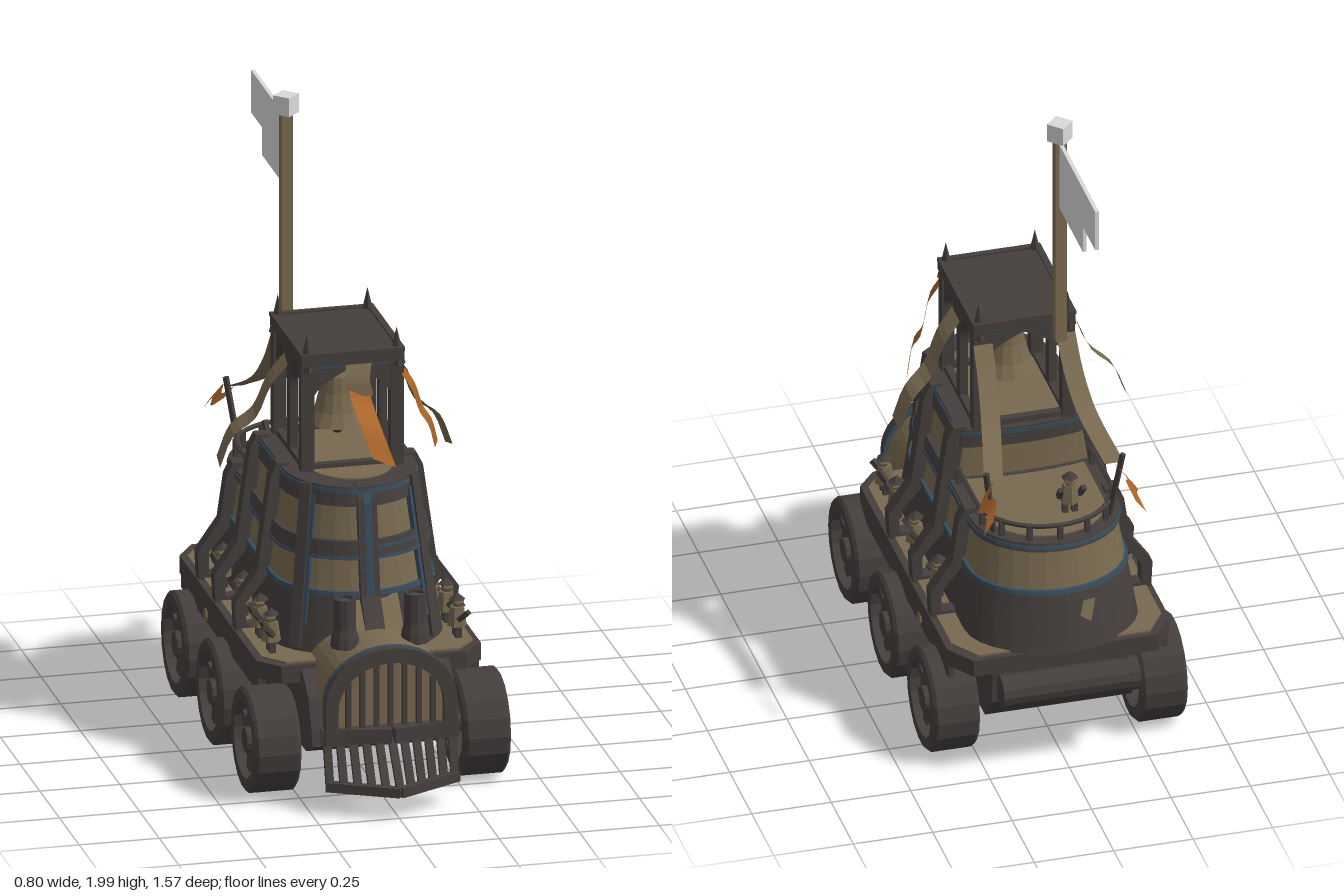
import * as THREE from 'three';

const mat = (name, color, side = THREE.FrontSide) =>
  new THREE.MeshStandardMaterial({ name, color, side, flatShading: true });

export function createModel() {
  const root = new THREE.Group();
  root.name = 'landTrain';
  const iron = mat('darkIron', 0x443f3d);
  const tan = mat('tanPlate', 0x78694f, THREE.DoubleSide);
  const blue = mat('blueTrim', 0x384c5c);
  const orange = mat('orangeCloth', 0xa8642a, THREE.DoubleSide);
  const wood = mat('mastWood', 0x7d6b50);
  const pale = mat('paleGrey', 0xdadada);

  const V = (x, y, z) => new THREE.Vector3(x, y, z);
  const add = (name, geo, m, x = 0, y = 0, z = 0, parent = root) => {
    const mesh = new THREE.Mesh(geo, m);
    mesh.name = name;
    mesh.position.set(x, y, z);
    parent.add(mesh);
    return mesh;
  };
  const box = (name, w, h, d, m, x, y, z, parent) => add(name, new THREE.BoxGeometry(w, h, d), m, x, y, z, parent);
  // straight bar between two points
  const bar = (name, a, b, w, h, m, parent) => {
    const mesh = box(name, w, h, a.distanceTo(b), m, 0, 0, 0, parent);
    mesh.position.copy(a).add(b).multiplyScalar(0.5);
    mesh.lookAt(b);
    return mesh;
  };
  const shape = (pts) => new THREE.Shape(pts.map(([x, y]) => new THREE.Vector2(x, y)));
  const slab = (s, depth) =>
    new THREE.ExtrudeGeometry(s, { depth, bevelEnabled: false, curveSegments: 10 }).translate(0, 0, -depth / 2);
  const lathe = (pts, n) => new THREE.LatheGeometry(pts.map(([r, y]) => new THREE.Vector2(r, y)), n);
  const rod = (r, len, n) => new THREE.CylinderGeometry(r, r, len, n).rotateZ(Math.PI / 2);

  // ---- hull: rounded cross-sections lofted upwards ----
  const N = 14;
  const ring = (y, grow, tower) => {
    const t = y - 0.6, hw = 0.242 - 0.14 * t + grow, rf = 0.22 + grow, rb = (tower ? 0.03 : 0.2) + grow;
    const zf = 0.148 - 0.15 * t, zb = tower ? -0.21 : -0.49 + 0.22 * t, pts = [];
    for (let i = 0; i <= N; i++) {
      const a = (i / N) * Math.PI;
      pts.push(V(hw * Math.cos(a), y, zf + rf * Math.sin(a)));
    }
    for (let i = 0; i <= N; i++) {
      const a = Math.PI * (1 + i / N);
      pts.push(V(hw * Math.cos(a), y, zb + Math.max(rb, 0) * Math.sin(a)));
    }
    return pts;
  };
  const loft = (rings) => {
    const n = rings[0].length, pos = [], tri = (...p) => p.forEach((v) => pos.push(v.x, v.y, v.z));
    for (let r = 0; r < rings.length - 1; r++)
      for (let i = 0; i < n; i++) {
        const j = (i + 1) % n, A = rings[r], B = rings[r + 1];
        tri(A[i], B[i], A[j]);
        tri(A[j], B[i], B[j]);
      }
    const top = rings[rings.length - 1], c = V(0, top[0].y, -0.05);
    for (let i = 0; i < n; i++) tri(c, top[(i + 1) % n], top[i]);
    const g = new THREE.BufferGeometry();
    g.setAttribute('position', new THREE.Float32BufferAttribute(pos, 3));
    g.computeVertexNormals();
    return g;
  };
  const band = (name, m, y0, y1, grow = 0, tower = false) =>
    add(name, loft([ring(y0, -0.01, tower), ring(y0, grow, tower), ring(y1, grow, tower), ring(y1, -0.02, tower)]), m);
  band('lowerHull', iron, 0.41, 0.61, 0.004);
  band('lowerTrim', blue, 0.598, 0.612, 0.01);
  band('upperHull', tan, 0.61, 0.75);
  band('deckTrim', iron, 0.735, 0.762, 0.012);
  band('deckTrimBlue', blue, 0.744, 0.754, 0.015);
  add('sternDeck', loft([ring(0.76, -0.03), ring(0.766, -0.03)]), tan);
  band('tower', tan, 0.74, 0.925, 0, true);
  band('towerBelt', iron, 0.715, 0.768, 0.015, true);
  band('towerBeltTrim', blue, 0.711, 0.72, 0.017, true);
  band('towerCrown', iron, 0.872, 0.932, 0.01, true);
  band('towerCrownTrim', blue, 0.913, 0.925, 0.013, true);
  add('towerTop', loft([ring(0.93, -0.06, true), ring(0.936, -0.06, true)]), tan);

  // ---- ribs on the hull ----
  const rib = (top, x, depth) => slab(shape([[0.26, 0.4], [0.345, 0.4], [0.35, 0.5], [0.28, 0.6],
    [x + 0.02, top - 0.04], [x, top], [x - 0.04, top], [0.23, 0.6], [0.315, 0.5], [0.315, 0.43], [0.26, 0.43]]), depth);
  for (const [z, top, x] of [[0.06, 0.94, 0.218], [-0.2, 0.94, 0.218], [-0.41, 0.78, 0.24]])
    for (const s of [0, Math.PI]) add('hullRib', rib(top, x, 0.045), iron, 0, 0, z).rotation.y = s;
  add('frontRib', rib(0.935, 0.212, 0.06), iron, 0, 0, 0.108).rotation.y = -Math.PI / 2;
  add('frontRibInlay', rib(0.925, 0.22, 0.024), blue, 0, 0, 0.108).rotation.y = -Math.PI / 2;
  for (const s of [-1, 1]) {
    bar('frontCornerRib', V(s * 0.212, 0.43, 0.305), V(s * 0.162, 0.93, 0.24), 0.035, 0.035, iron);
    bar('frontCornerTrim', V(s * 0.188, 0.5, 0.315), V(s * 0.145, 0.9, 0.262), 0.012, 0.02, blue);
  }

  // ---- chassis and running board ----
  const side = slab(shape([[0.45, 0.4], [0.53, 0.34], [0.57, 0.25], [0.58, 0.2], [0.5, 0.16], [-0.62, 0.16], [-0.7, 0.25], [-0.71, 0.4]]), 0.46);
  add('chassis', side.rotateY(-Math.PI / 2), iron);
  const plan = (g) => shape([[0.29, 0.43], [0.35, 0.36], [0.35, -0.62], [0.29, -0.71],
    [-0.29, -0.71], [-0.35, -0.62], [-0.35, 0.36], [-0.29, 0.43]].map(([x, z]) => [x - Math.sign(x) * g, -z + Math.sign(z) * g]));
  add('runningBoard', slab(plan(0), 0.055).rotateX(-Math.PI / 2), iron, 0, 0.385, 0);
  add('runningBoardTop', slab(plan(0.02), 0.008).rotateX(-Math.PI / 2), tan, 0, 0.415, 0);
  for (const s of [-1, 1]) {
    box('skirt', 0.02, 0.07, 0.98, iron, s * 0.335, 0.345, -0.13);
    add('barePatch', rod(0.022, 0.006, 6), tan, s * 0.346, 0.332, -0.3);
  }
  add('rearPatch', new THREE.CylinderGeometry(0.04, 0.04, 0.008, 5).rotateX(Math.PI / 2), tan, -0.08, 0.53, -0.694).rotation.set(0.21, 0.33, 0);
  add('rearRoller', rod(0.05, 0.42, 12), iron, 0, 0.31, -0.738);
  for (const s of [-1, 1]) add('rollerCap', rod(0.053, 0.03, 12), iron, s * 0.2, 0.31, -0.738);

  // ---- wheels ----
  const rim = lathe([[0.12, -0.072], [0.155, -0.072], [0.165, -0.062], [0.165, 0.062], [0.155, 0.072],
    [0.12, 0.072], [0.12, -0.072]], 18).rotateZ(Math.PI / 2);
  for (const z of [0.39, -0.055, -0.5]) {
    add('axle', rod(0.028, 0.6, 8), iron, 0, 0.173, z);
    for (const s of [-1, 1]) {
      const w = new THREE.Group();
      w.name = 'wheel';
      w.position.set(s * 0.327, 0.173, z);
      root.add(w);
      add('rim', rim, iron, 0, 0, 0, w);
      add('hub', rod(0.08, 0.045, 16), iron, s * 0.028, 0, 0, w);
      add('hubCap', rod(0.04, 0.02, 10), iron, s * 0.058, 0, 0, w);
      for (let k = 0; k < 4; k++)
        box('spokePair', 0.03, 0.25, 0.034, iron, s * 0.033, 0, 0, w).rotation.x = ((k + 0.5) * Math.PI) / 4;
    }
  }

  // ---- boiler, grille and chimneys ----
  const arch = (w, y0, top, r) => {
    const s = new THREE.Shape();
    s.moveTo(-w, y0).lineTo(w, y0).lineTo(w, top - r);
    s.absellipse(0, top - r, w, r, 0, Math.PI, false, 0);
    s.lineTo(-w, y0);
    return s;
  };
  add('boiler', slab(arch(0.195, 0.24, 0.515, 0.17), 0.33), tan, 0, 0, 0.46);
  bar('boilerShoulder', V(0, 0.49, 0.44), V(0, 0.585, 0.35), 0.18, 0.03, tan);
  const frame = arch(0.205, 0.22, 0.522, 0.17);
  frame.holes.push(arch(0.165, 0.27, 0.475, 0.14));
  add('grilleFrame', slab(frame, 0.025), iron, 0, 0, 0.637);
  const trim = arch(0.206, 0.22, 0.523, 0.17);
  trim.holes.push(arch(0.19, 0.23, 0.505, 0.16));
  add('boilerTrim', slab(trim, 0.016), blue, 0, 0, 0.618);
  for (let i = -3; i <= 3; i++) {
    const x = i * 0.044, h = 0.06 + 0.147 * Math.sqrt(1 - (x / 0.168) ** 2);
    box('grilleBar', 0.015, h, 0.018, iron, x, 0.268 + h / 2, 0.637);
  }
  const cup = [[0, 0], [0.045, 0], [0.042, 0.03], [0.034, 0.06], [0.034, 0.155], [0.026, 0.155], [0.026, 0.13]];
  for (const s of [-1, 1]) {
    add('chimney', lathe(cup, 10), iron, s * 0.11, 0.49, 0.505);
    add('chimneyGlow', new THREE.CylinderGeometry(0.027, 0.027, 0.008, 10), blue, s * 0.11, 0.63, 0.505);
  }

  // ---- cowcatcher ----
  for (const s of [-1, 1]) {
    bar('catcherTop', V(s * 0.21, 0.25, 0.605), V(0, 0.25, 0.65), 0.06, 0.045, iron);
    bar('catcherFoot', V(s * 0.205, 0.1, 0.66), V(0, 0.1, 0.768), 0.025, 0.03, iron);
    for (let i = 0; i <= 5; i++) {
      const t = i / 5;
      bar('catcherSlat', V(s * 0.195 * t, 0.24, 0.65 - 0.03 * t), V(s * 0.195 * t, 0.1, 0.768 - 0.108 * t), 0.024, 0.016, iron);
    }
  }

  // ---- belfry with pointed arches ----
  const arcade = (w, n) => {
    const s = shape([[-w / 2, 0.93], [w / 2, 0.93], [w / 2, 1.28], [-w / 2, 1.28]]), p = w / n;
    for (let i = 0; i < n; i++) {
      const c = -w / 2 + p * (i + 0.5), h = p / 2 - 0.018;
      const o = new THREE.Path().moveTo(c - h, 0.95).lineTo(c + h, 0.95).lineTo(c + h, 1.14);
      o.quadraticCurveTo(c + h, 1.2, c, 1.253).quadraticCurveTo(c - h, 1.2, c - h, 1.14).lineTo(c - h, 0.95);
      s.holes.push(o);
    }
    return slab(s, 0.025);
  };
  const bz = -0.04;
  for (const s of [-1, 1]) {
    add('belfryEnd', arcade(0.29, 1), iron, 0, 0, bz + s * 0.175);
    add('belfrySide', arcade(0.36, 2).rotateY(Math.PI / 2), iron, s * 0.14, 0, bz);
    for (const e of [-1, 1]) {
      box('belfryPost', 0.04, 0.36, 0.04, iron, s * 0.14, 1.1, bz + e * 0.178);
      add('roofSpike', new THREE.ConeGeometry(0.028, 0.12, 4), iron, s * 0.14, 1.313, bz + e * 0.185);
    }
    box('roofEdge', 0.02, 0.012, 0.41, iron, s * 0.152, 1.305, bz);
    box('roofEdge', 0.32, 0.012, 0.02, iron, 0, 1.305, bz + s * 0.195);
    box('roofTrim', 0.27, 0.01, 0.012, blue, 0, 1.264, bz + s * 0.187);
  }
  box('roof', 0.32, 0.035, 0.41, iron, 0, 1.287, bz);
  add('bell', lathe([[0.092, 0], [0.07, 0.04], [0.055, 0.1], [0.05, 0.15], [0.03, 0.18], [0, 0.185]], 14), tan, 0, 1.02, bz);
  add('bellHanger', new THREE.CylinderGeometry(0.012, 0.012, 0.09, 6), iron, 0, 1.235, bz);
  add('bellClapper', new THREE.SphereGeometry(0.02, 8, 6), iron, 0, 1.0, bz);

  // ---- mast and banner ----
  box('mast', 0.036, 0.74, 0.036, wood, -0.105, 1.6, -0.262);
  box('mastCap', 0.057, 0.06, 0.057, pale, -0.105, 1.97, -0.262).rotation.y = Math.PI / 4;
  const flag = shape([[-0.28, 1.933], [-0.28, 1.708], [-0.545, 1.708], [-0.545, 1.797], [-0.685, 1.797], [-0.685, 1.933]]);
  add('banner', slab(flag, 0.012).rotateY(-Math.PI / 2), pale, -0.105, 0, 0);

  // ---- hanging ribbons: path swept with a flat width ----
  const ribbon = (name, m, pts, wide) => {
    const curve = new THREE.CatmullRomCurve3(pts.map((p) => V(...p))), w = V(...wide), pos = [], idx = [];
    for (let i = 0; i <= 12; i++) {
      const c = curve.getPoint(i / 12), a = c.clone().sub(w), b = c.clone().add(w);
      pos.push(a.x, a.y, a.z, b.x, b.y, b.z);
      if (i) idx.push(2 * i - 2, 2 * i - 1, 2 * i, 2 * i, 2 * i - 1, 2 * i + 1);
    }
    const g = new THREE.BufferGeometry();
    g.setAttribute('position', new THREE.Float32BufferAttribute(pos, 3));
    g.setIndex(idx);
    g.computeVertexNormals();
    add(name, g, m);
  };
  ribbon('sideStreamer', orange, [[0.16, 1.23, 0.15], [0.19, 1.18, 0.155], [0.225, 1.09, 0.115], [0.25, 1.05, 0.12], [0.28, 0.96, 0.08]], [-0.012, 0, 0.03]);
  ribbon('frontStreamer', orange, [[0.01, 1.22, 0.16], [0.02, 1.16, 0.19], [0.03, 1.1, 0.27], [0.06, 1, 0.32]], [0.036, -0.016, 0]);
  ribbon('frontCloth', tan, [[0.02, 1.27, 0.155], [0.01, 1.22, 0.175], [0.02, 1.17, 0.18]], [0.04, 0, 0]);
  for (const s of [-1, 1]) {
    ribbon('sideCloth', tan, [[s * 0.16, 1.23, -0.04], [s * 0.21, 1.165, -0.05], [s * 0.255, 1.06, -0.06], [s * 0.32, 1, -0.08], [s * 0.36, 0.9, -0.085]], [s * 0.003, s * 0.008, 0.034]);
    // stern pennant, its pole and the cloth strung to it
    bar('pennantPole', V(s * 0.18, 0.75, -0.545), V(s * 0.215, 0.99, -0.58), 0.014, 0.014, iron);
    ribbon('pennant', orange, [[s * 0.205, 0.94, -0.58], [s * 0.235, 0.905, -0.62], [s * 0.22, 0.92, -0.66], [s * 0.24, 0.87, -0.7]], [-s * 0.016, 0.02, 0.004]);
    ribbon('sternCloth', tan, [[s * 0.13, 1.235, -0.24], [s * 0.135, 1.14, -0.31], [s * 0.15, 1.05, -0.4], [s * 0.19, 0.96, -0.575]], [0.03, 0, 0]);
  }

  // ---- stern deck railing ----
  const rail = ring(0.76, -0.01).filter((p) => p.z < -0.4);
  rail.unshift(V(-0.21, 0.76, -0.25));
  rail.push(V(0.21, 0.76, -0.25));
  rail.forEach((p, i) => i % 2 || box('railPost', 0.016, 0.06, 0.016, iron, p.x, 0.785, p.z));
  const railPath = new THREE.CatmullRomCurve3(rail.map((p) => V(p.x, 0.812, p.z)));
  add('handrail', new THREE.TubeGeometry(railPath, 32, 0.008, 5), iron);

  // ---- small crew ----
  const crew = (x, y, z, turn) => {
    const g = new THREE.Group();
    g.name = 'crewMember';
    g.position.set(x, y, z);
    g.rotation.y = turn;
    g.scale.setScalar(1.1);
    root.add(g);
    for (const s of [-1, 1]) {
      box('leg', 0.016, 0.04, 0.018, iron, s * 0.013, 0.02, 0, g);
      bar('arm', V(s * 0.02, 0.08, 0), V(s * 0.042, 0.055, 0.025), 0.014, 0.014, iron, g);
    }
    add('coat', new THREE.CylinderGeometry(0.02, 0.028, 0.055, 6), tan, 0, 0.06, 0, g);
    add('head', new THREE.IcosahedronGeometry(0.02, 0), tan, 0, 0.1, 0.004, g);
    add('hat', new THREE.ConeGeometry(0.024, 0.02, 6), iron, 0, 0.118, 0, g);
  };
  for (const s of [-1, 1]) for (const z of [0.3, 0.16, -0.05, -0.31]) crew(s * 0.29, 0.418, z, (s * Math.PI) / 2);
  crew(-0.07, 0.766, -0.5, Math.PI);

  return root;
}
